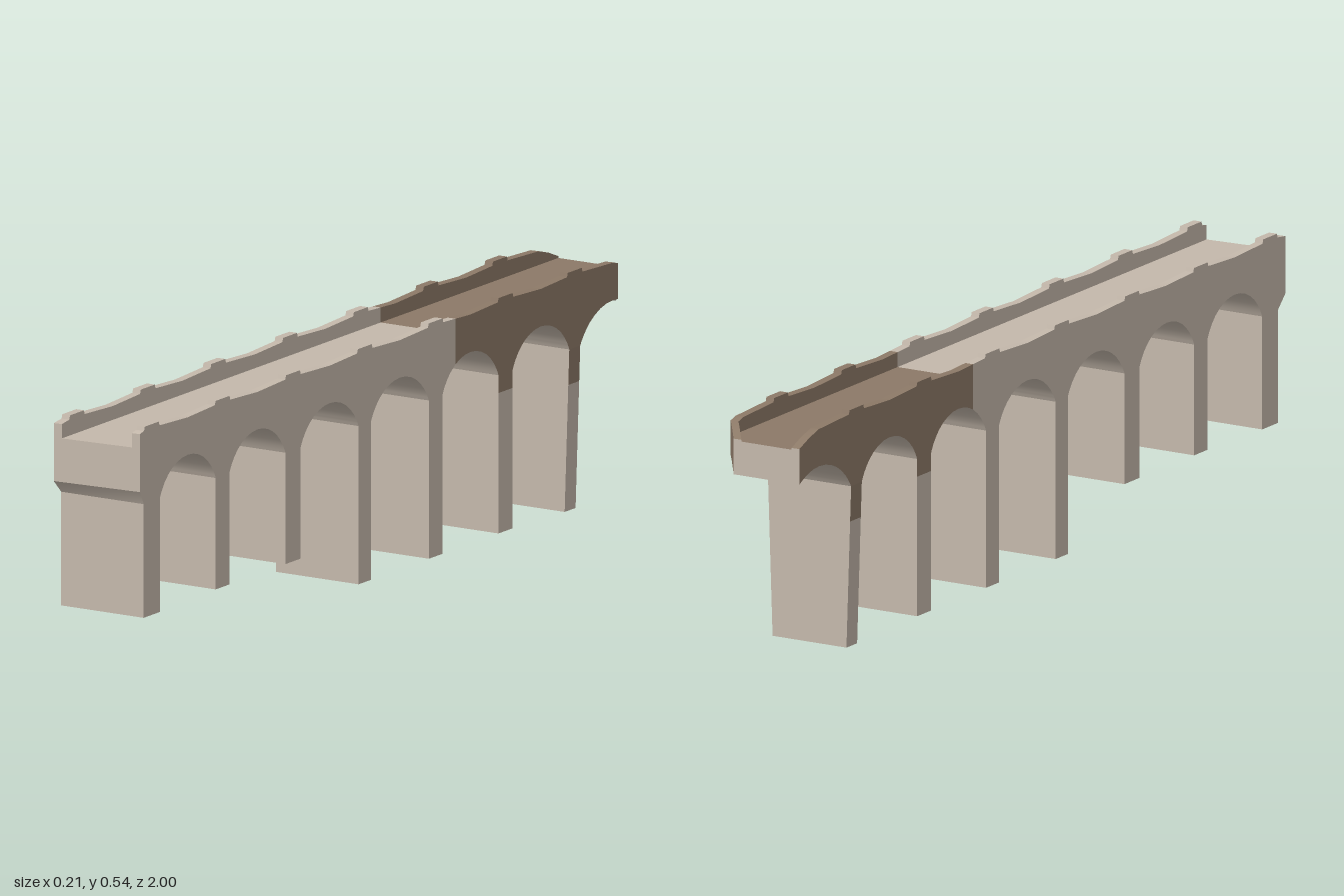
import * as THREE from 'three';
import { mergeVertices, toCreasedNormals } from 'three/addons/utils/BufferGeometryUtils.js';

const stone = new THREE.MeshStandardMaterial({ color: 0xc4b8ab, side: THREE.DoubleSide });
stone.name = 'paleStone';
const earth = new THREE.MeshStandardMaterial({ color: 0x8c7967, side: THREE.DoubleSide });
earth.name = 'brownStone';

// Piers from front to back: front z, back z, foot height
const PIERS = [
  [0.97, 0.905, 0.115], [0.68, 0.625, 0.12], [0.4, 0.338, 0.12], [0.105, 0.055, 0.015],
  [-0.178, -0.232, 0.015], [-0.458, -0.515, 0.015], [-0.743, -0.787, 0.004],
];
const W = 0.107, INNER = 0.087, FLOOR = 0.498;
const SPRING = 0.37, CROWN = 0.445, STAIN = -0.285;

// Arch spans between piers, the last one broken off at the back end
const ARCHES = PIERS.map((p, i) => [p[1], i < 6 ? PIERS[i + 1][0] : -1.05]);

function underside(z) {
  if (z > 0.97) return SPRING + (z - 0.97);
  const arch = ARCHES.find(([a, b]) => z <= a && z >= b);
  if (!arch) return SPRING;
  const h = (arch[0] - arch[1]) / 2, rise = CROWN - SPRING;
  const r = (h * h + rise * rise) / (2 * rise);
  const d = z - (arch[0] + arch[1]) / 2;
  return CROWN - r + Math.sqrt(r * r - d * d);
}

// Parapet outline: a raised block over every pier and a gentle dip between them
const TOP = [[1, 0.53]];
PIERS.forEach(([a, b], i) => {
  const c = (a + b) / 2;
  TOP.push([c + 0.031, 0.534], [c + 0.028, 0.543], [c - 0.028, 0.543], [c - 0.031, 0.534]);
  if (i < 6) TOP.push([(b + PIERS[i + 1][0]) / 2, 0.529]);
});
TOP.push([-0.92, 0.529], [-0.96, 0.518], [-1, 0.502]);

function parapetTop(z) {
  for (let i = 1; i < TOP.length; i++) {
    const [z0, y0] = TOP[i - 1], [z1, y1] = TOP[i];
    if (z >= z1) return y0 + (y1 - y0) * (z - z0) / (z1 - z0);
  }
  return TOP[TOP.length - 1][1];
}

// Cross-section of the channel, counter-clockwise seen from the front
function section(z) {
  const right = z < -0.94 ? W - (-0.94 - z) * 0.75 : W;
  const inner = Math.min(INNER, right - 0.02);
  const b = underside(z), t = parapetTop(z);
  return [
    [right, b], [right, t], [inner, t], [inner, FLOOR],
    [-INNER, FLOOR], [-INNER, t], [-W, t], [-W, b],
  ].map(([x, y]) => [x, y, z > 0.999 ? 1 - 0.07 * (x + W) : z]);
}

// Quads are gathered per part and colour, then made into one mesh each
function collector(group) {
  const parts = new Map();
  return {
    quad(name, material, a, b, c, d) {
      const key = name + material.name;
      if (!parts.has(key)) parts.set(key, { name, material, points: [] });
      parts.get(key).points.push(...a, ...b, ...c, ...a, ...c, ...d);
    },
    finish() {
      for (const { name, material, points } of parts.values()) {
        let g = new THREE.BufferGeometry();
        g.setAttribute('position', new THREE.Float32BufferAttribute(points, 3));
        g = toCreasedNormals(mergeVertices(g), 0.5);
        const mesh = new THREE.Mesh(g, material);
        mesh.name = name;
        group.add(mesh);
      }
    },
  };
}

export function createModel() {
  const model = new THREE.Group();
  model.name = 'archedAqueduct';
  const { quad, finish } = collector(model);

  // Stations along the length: outline breaks, colour change and arch steps
  const set = new Set([STAIN, -0.94, 0.97, ...TOP.map((p) => p[0])]);
  PIERS.forEach(([a, b]) => set.add(a).add(b));
  ARCHES.forEach(([a, b]) => {
    for (let i = 1; i < 16; i++) set.add(a + (b - a) * (0.5 - 0.5 * Math.cos(Math.PI * i / 16)));
  });
  const stations = [...set].filter((z) => z >= -1 && z <= 1).sort((p, q) => p - q);

  // Spandrel walls, parapets, channel floor and arch undersides
  const names = ['sideWall', 'parapetTop', 'parapetInside', 'channelFloor',
    'parapetInside', 'parapetTop', 'sideWall', 'archUnderside'];
  for (let i = 1; i < stations.length; i++) {
    const back = section(stations[i - 1]), front = section(stations[i]);
    const stained = stations[i] <= STAIN;
    names.forEach((name, k) => {
      const n = (k + 1) % 8;
      quad(name, stained && k < 7 ? earth : stone, back[k], back[n], front[n], front[k]);
    });
  }

  // End faces of the channel
  for (const z of [1, -1]) {
    const s = section(z);
    const low = (i) => [s[i][0], FLOOR, s[i][2]];
    const faces = [
      [s[7], s[0], low(0), low(7)],
      [s[3], low(0), s[1], s[2]],
      [low(7), s[4], s[5], s[6]],
    ];
    for (const f of faces) quad('endFace', stone, ...(z > 0 ? f : f.reverse()));
  }

  // Hollow piers, open at the foot; the rear ones are stained at the top of their sides
  PIERS.forEach(([zf, zb, foot], i) => {
    const stain = [SPRING, SPRING, SPRING, SPRING, SPRING, 0.33, 0.29][i];
    const ring = (y) => {
      const w = i === 6 ? W - 0.012 * (SPRING - y) / (SPRING - foot) : W;
      return [[w, y, zf], [w, y, zb], [-w, y, zb], [-w, y, zf]];
    };
    const levels = stain < SPRING ? [foot, stain, SPRING] : [foot, SPRING];
    for (let l = 1; l < levels.length; l++) {
      const lo = ring(levels[l - 1]), hi = ring(levels[l]);
      for (let k = 0; k < 4; k++) {
        const n = (k + 1) % 4;
        quad('pier' + (i + 1), l === 2 && k % 2 === 0 ? earth : stone, lo[k], lo[n], hi[n], hi[k]);
      }
    }
  });

  finish();
  return model;
}
